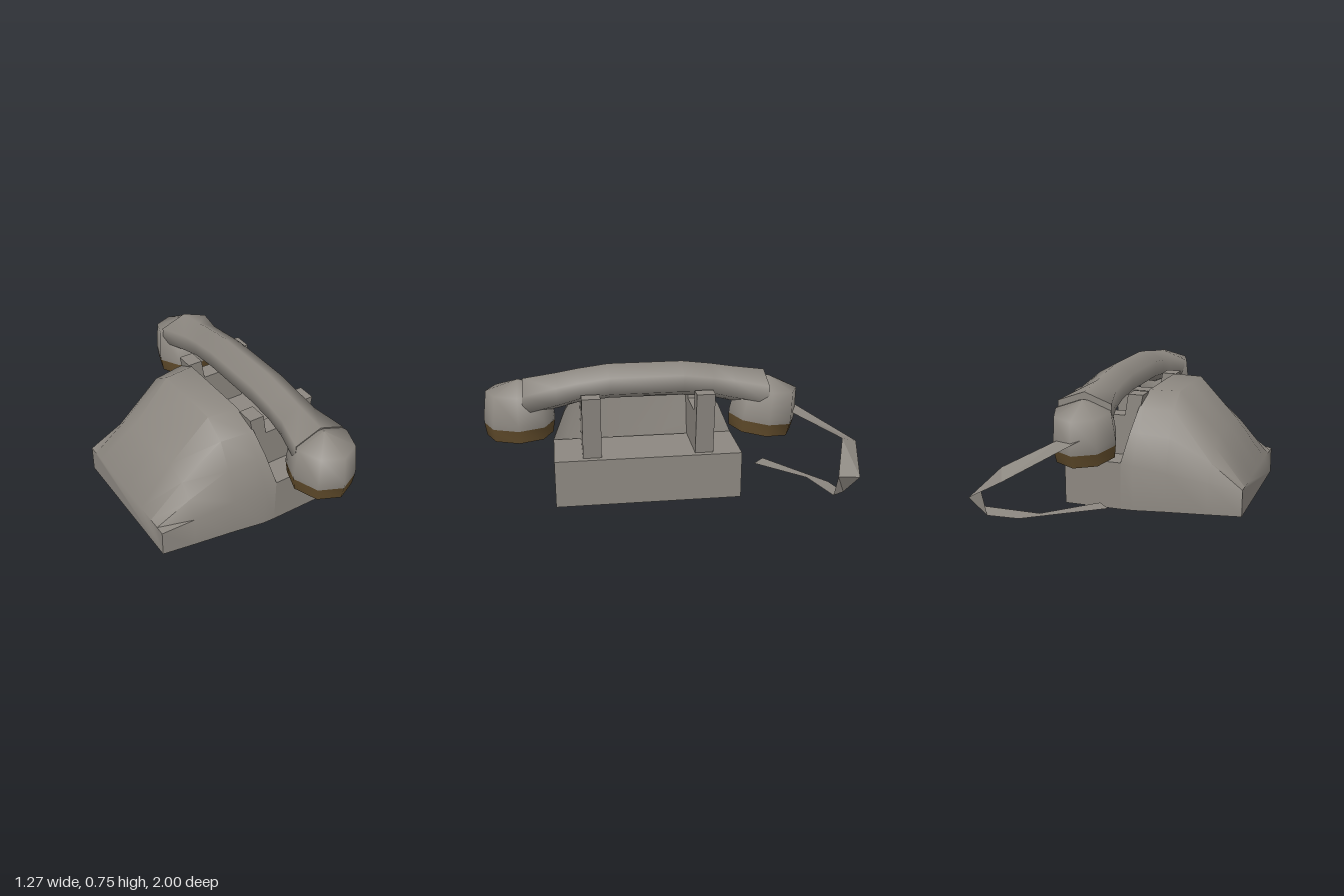
import * as THREE from 'three';
import { toCreasedNormals } from 'three/addons/utils/BufferGeometryUtils.js';

const grey = new THREE.MeshStandardMaterial({ color: 0x8c8780 });
grey.name = 'warmGrey';
const greyThin = new THREE.MeshStandardMaterial({ color: 0x8c8780, side: THREE.DoubleSide });
greyThin.name = 'warmGreyThin';
const brown = new THREE.MeshStandardMaterial({ color: 0x5f4a2a });
brown.name = 'brown';

function addMesh(parent, name, geometry, material) {
  const mesh = new THREE.Mesh(geometry, material);
  mesh.name = name;
  parent.add(mesh);
  return mesh;
}

// Skin closed loops of [x, y, z] points and cap both ends
function loft(loops, crease) {
  const n = loops[0].length;
  const index = [];
  for (let i = 0; i < loops.length - 1; i++) {
    for (let j = 0; j < n; j++) {
      const a = i * n + j, b = i * n + (j + 1) % n;
      index.push(a, a + n, b, b, a + n, b + n);
    }
  }
  const last = (loops.length - 1) * n;
  for (let j = 1; j < n - 1; j++) {
    index.push(0, j, j + 1, last, last + j + 1, last + j);
  }
  const geometry = new THREE.BufferGeometry();
  geometry.setAttribute('position', new THREE.Float32BufferAttribute(loops.flat(2), 3));
  geometry.setIndex(index);
  return toCreasedNormals(geometry, crease);
}

// Sloping housing: arched cross-sections along x
function housingGeometry() {
  // x, half width, shoulder height, top height
  const stations = [
    [-0.63, 0.41, 0.15, 0.152], [-0.45, 0.44, 0.18, 0.385],
    [-0.225, 0.475, 0.22, 0.615], [-0.05, 0.507, 0.255, 0.615], [0.02, 0.51, 0.265, 0.615],
  ];
  // fraction of half width, fraction of the rise above the shoulder
  const arch = [[1, 0], [0.87, 0.45], [0.71, 0.8], [0.45, 1]];
  const loops = stations.map(([x, w, s, t], i) => {
    const half = [[w, 0], ...arch.map(([fw, fh]) => [w * fw, s + (t - s) * fh])];
    const ring = [...half, [0, t], ...half.map(([z, y]) => [-z, y]).reverse()];
    return ring.map(([z, y]) => {
      // the back leans away from the cradle
      const lean = Math.max(0, y - 0.265) / 0.35;
      const shift = i === 4 ? 0.07 * lean : i === 3 ? 0.03 * lean : 0;
      return [x - shift, y, z];
    });
  });
  return loft(loops, 0.8);
}

// Six-sided handset grip along z
function gripGeometry() {
  // z, half width, top, bottom
  const side = [[0.2, 0.1, 0.745, 0.55], [0.36, 0.1, 0.725, 0.535],
    [0.48, 0.105, 0.705, 0.505], [0.66, 0.15, 0.68, 0.48]];
  const stations = [...side.map(([z, ...r]) => [-z, ...r]).reverse(), ...side];
  const loops = stations.map(([z, w, t, b]) => [
    [-w, b + 0.05, z], [-w, t - 0.055, z], [0, t, z],
    [w, t - 0.055, z], [w, b + 0.05, z], [0, b, z],
  ]);
  return loft(loops, 1.3);
}

// Eight-sided ear or mouth piece with a brown lower band
function cup(name, z, y, tilt) {
  const group = new THREE.Group();
  group.name = name;
  const lathe = (pts) => new THREE.LatheGeometry(pts.map(([r, h]) => new THREE.Vector2(r, h)), 8);
  addMesh(group, 'cupShell', lathe([[0.189, 0.07], [0.19, 0.1], [0.172, 0.25], [0, 0.308]]), grey);
  addMesh(group, 'cupBand',
    toCreasedNormals(lathe([[0, 0], [0.178, 0], [0.189, 0.07]]), 0.9), brown);
  group.position.set(0, y, z);
  group.rotation.x = tilt;
  group.scale.x = 0.9;
  return group;
}

// U-shaped rest, cut from a tapered plate
function restGeometry() {
  const outline = [[0.015, 0.26], [0.315, 0.26], [0.35, 0.61], [0.275, 0.61],
    [0.25, 0.49], [0.05, 0.49], [0.03, 0.61], [-0.055, 0.61]];
  const shape = new THREE.Shape(outline.map(([x, y]) => new THREE.Vector2(x, y)));
  return new THREE.ExtrudeGeometry(shape, { depth: 0.1, bevelEnabled: false }).translate(0, 0, -0.05);
}

// Flat ribbon from its two edges
function cordGeometry() {
  const edgeA = [[0.13, 0.47, -0.7], [0.42, 0.32, -1], [0.635, 0.2, -0.95],
    [0.57, 0.09, -0.89], [0.41, 0.08, -0.86], [0.03, 0.08, -0.59]];
  const edgeB = [[0.25, 0.46, -0.65], [0.47, 0.36, -0.9], [0.635, 0.21, -0.83],
    [0.635, 0.105, -0.81], [0.34, 0.08, -0.76], [0.1, 0.08, -0.52]];
  const index = [];
  for (let i = 0; i < edgeA.length - 1; i++) {
    const a = i * 2;
    index.push(a, a + 1, a + 2, a + 2, a + 1, a + 3);
  }
  const geometry = new THREE.BufferGeometry();
  const points = edgeA.flatMap((p, i) => [...p, ...edgeB[i]]);
  geometry.setAttribute('position', new THREE.Float32BufferAttribute(points, 3));
  geometry.setIndex(index);
  return toCreasedNormals(geometry, 0.2);
}

export function createModel() {
  const model = new THREE.Group();
  model.name = 'telephone';

  // Body and handset share a slight turn
  const phone = new THREE.Group();
  phone.name = 'phone';
  phone.position.z = 0.125;
  phone.rotation.y = -0.0245;
  model.add(phone);

  addMesh(phone, 'housing', housingGeometry(), grey);
  addMesh(phone, 'baseShelf', new THREE.BoxGeometry(0.3275, 0.265, 1.02), grey)
    .position.set(0.18375, 0.1325, 0);
  for (const z of [-0.305, 0.305]) {
    addMesh(phone, 'handsetRest', restGeometry(), grey).position.z = z;
  }

  // Handset
  const handset = new THREE.Group();
  handset.name = 'handset';
  handset.position.x = 0.158;
  addMesh(handset, 'grip', gripGeometry(), grey);
  handset.add(cup('frontCup', 0.685, 0.37, 0));
  handset.add(cup('rearCup', -0.648, 0.34, -0.13));
  phone.add(handset);

  addMesh(model, 'cord', cordGeometry(), greyThin);
  return model;
}
